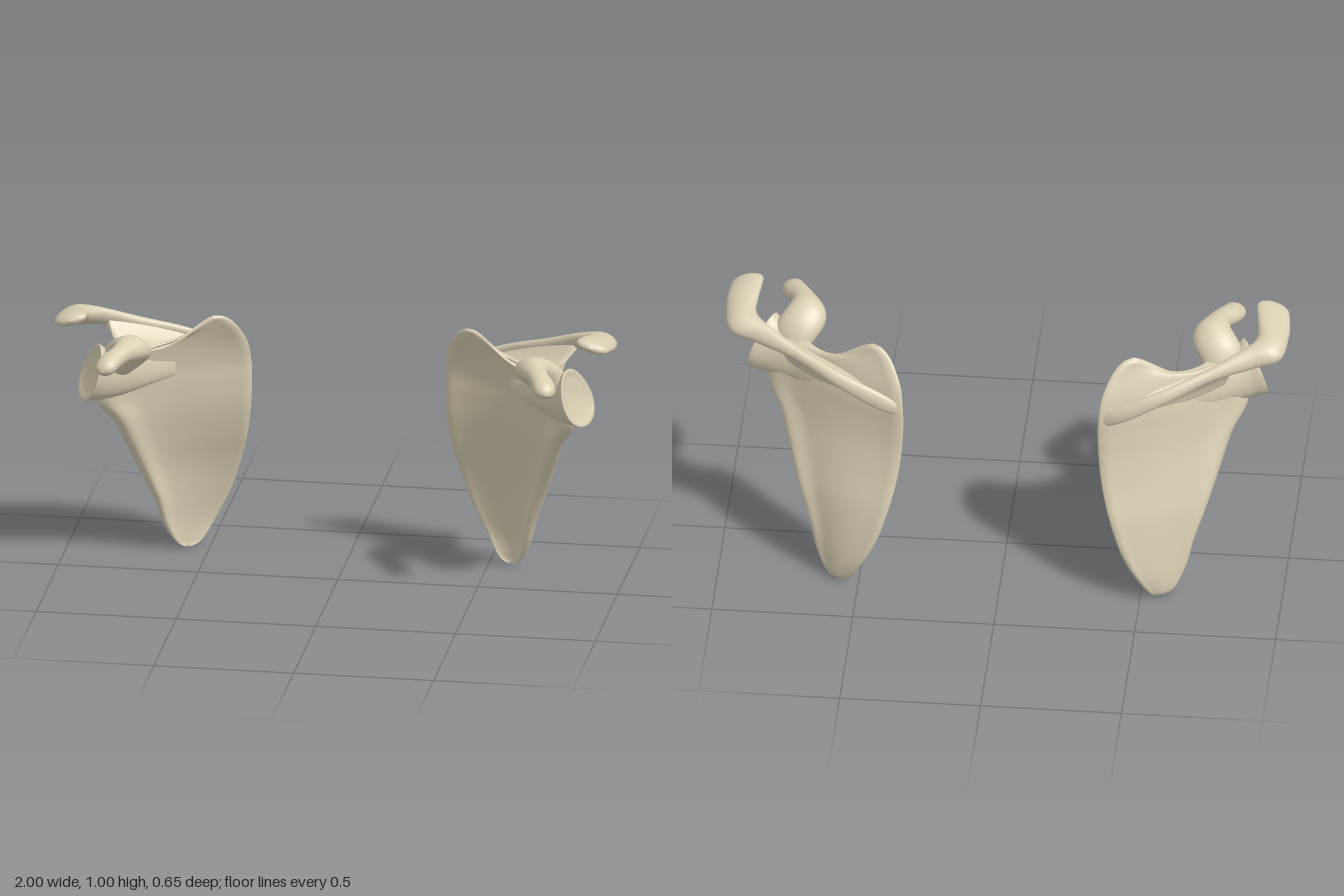
import * as THREE from 'three';

const V = (a) => new THREE.Vector3(...a);
const bone = new THREE.MeshStandardMaterial({ color: 0xd8cfb2 });

// Uniform spline through values, so several tracks stay in step
function track(list) {
  const c = new THREE.CatmullRomCurve3(list.map(V), false, 'catmullrom');
  return (u) => c.getPoint(u);
}

// Skin over closed loops of points; side = -1 mirrors it across x
function loft(name, loops, side, capped = true) {
  const n = loops[0].length, pos = [], idx = [];
  const tri = (a, b, c) => (side > 0 ? idx.push(a, b, c) : idx.push(a, c, b));
  const put = (p) => pos.push(p.x * side, p.y, p.z);
  loops.forEach((loop) => loop.forEach(put));
  for (let i = 0; i < loops.length - 1; i++) {
    for (let j = 0; j < n; j++) {
      const a = i * n + j, b = i * n + (j + 1) % n;
      tri(a, b, a + n);
      tri(b, b + n, a + n);
    }
  }
  if (capped) {
    [0, loops.length - 1].forEach((row, end) => {
      const mid = new THREE.Vector3();
      loops[row].forEach((p) => mid.addScaledVector(p, 1 / n));
      const c = pos.length / 3;
      put(mid);
      for (let j = 0; j < n; j++) {
        const a = row * n + j, b = row * n + (j + 1) % n;
        if (end) tri(a, b, c); else tri(b, a, c);
      }
    });
  }
  const g = new THREE.BufferGeometry();
  g.setAttribute('position', new THREE.Float32BufferAttribute(pos, 3));
  g.setIndex(idx);
  g.computeVertexNormals();
  const mesh = new THREE.Mesh(g, bone);
  mesh.name = name;
  return mesh;
}

// Unit sections: a circle, a pear, and a fin with a wide foot and waisted web
const ring = (pear) => Array.from({ length: 32 }, (_, j) => {
  const a = (j / 32) * Math.PI * 2, s = Math.sin(a);
  return [Math.cos(a) * (1 - pear * s), s];
});
const circle = ring(0), pearShape = ring(0.18);
const finHalf = [[1, 0.6], [0.5, 0.45], [-0.1, 0.5], [-0.6, 0.85], [-1, 1.7]];
const finShape = new THREE.SplineCurve(
  [...finHalf, [-1.15, 0], ...finHalf.map(([c, s]) => [c, -s]).reverse()].map(([c, s]) => new THREE.Vector2(c, s)),
).getPoints(40).map((p) => [p.x, p.y]);

// Sweep of a unit section: each station is [centre, half axis W, half axis T]
function sweep(name, stations, side, { section = circle, start = 0, end = 0, steps = 60 }) {
  const [P, W, T] = [0, 1, 2].map((k) => track(stations.map((s) => s[k])));
  const round = (d, span) => (d < span ? Math.sqrt(1 - (1 - d / span) ** 2) : 1);
  const loops = [];
  for (let i = 0; i <= steps; i++) {
    const u = i / steps, p = P(u), w = W(u), t = T(u);
    const r = Math.max(0.02, round(u, start) * round(1 - u, end));
    loops.push(section.map(([c, s]) => p.clone().addScaledVector(w, r * c).addScaledVector(t, r * s)));
  }
  return loft(name, loops, side);
}

// Thin curved plate between the medial and lateral borders
function blade(side) {
  const M = track([
    [0.568, 0.001, -0.264], [0.53, 0.025, -0.288], [0.485, 0.1, -0.313], [0.435, 0.2, -0.315],
    [0.395, 0.32, -0.3], [0.365, 0.44, -0.27], [0.35, 0.55, -0.25], [0.345, 0.65, -0.243],
    [0.347, 0.72, -0.238], [0.357, 0.8, -0.215], [0.39, 0.875, -0.172], [0.425, 0.912, -0.145],
    [0.462, 0.922, -0.125],
  ]);
  const L = track([
    [0.582, 0.001, -0.258], [0.618, 0.025, -0.238], [0.655, 0.1, -0.203], [0.682, 0.2, -0.172],
    [0.725, 0.32, -0.125], [0.765, 0.44, -0.065], [0.802, 0.55, -0.005], [0.85, 0.635, 0.05],
    [0.84, 0.71, 0.06], [0.82, 0.76, 0.06], [0.8, 0.79, 0.055], [0.77, 0.805, 0.05],
    [0.75, 0.81, 0.045],
  ]);
  const back = new THREE.Vector3(0.49, 0, -0.87);
  const rows = 72, n = 36, loops = [];
  for (let i = 0; i <= rows; i++) {
    const u = i / rows, m = M(u), l = L(u), loop = [];
    const edge = Math.sqrt(Math.min(1, u / 0.1) * Math.min(1, (1 - u) / 0.05));
    const bow = 0.035 * Math.sin(Math.PI * Math.min(1, u * 0.75 + 0.03));
    const sag = 0.045 * THREE.MathUtils.smoothstep(u, 0.8, 1);
    const rim = 0.018 * THREE.MathUtils.smoothstep(u, 0.02, 0.35);
    for (let k = 0; k < 2 * n; k++) {
      const a = (Math.PI * k) / n, t = (1 - Math.cos(a)) / 2, arc = Math.sin(Math.PI * t);
      // thin centre, slim medial rim, stout lateral rim
      const thick = 0.009 + rim * Math.exp(-(((t - 0.92) / 0.1) ** 2)) + 0.004 * Math.exp(-((t / 0.1) ** 2));
      const half = thick * edge * THREE.MathUtils.clamp(Math.sin(a) / 0.45, -1, 1);
      const p = m.clone().lerp(l, t).addScaledVector(back, bow * arc - half);
      p.y -= sag * arc * arc;
      loop.push(p);
    }
    loops.push(loop);
  }
  return loft('blade', loops, side, false);
}

// Fin standing on the back of the blade: blade point, crest point, half thickness
const finRibs = [
  [[0.37, 0.715, -0.232], [0.357, 0.715, -0.243], 0.01],
  [[0.46, 0.74, -0.188], [0.45, 0.765, -0.24], 0.018],
  [[0.565, 0.76, -0.138], [0.58, 0.82, -0.21], 0.024],
  [[0.685, 0.775, -0.066], [0.73, 0.875, -0.145], 0.026],
  [[0.765, 0.785, -0.01], [0.855, 0.91, -0.085], 0.024],
].map(([b, c, t]) => [
  b.map((v, i) => (v + c[i]) / 2),
  b.map((v, i) => (c[i] - v) / 2),
  [-t * 0.35, t, 0],
]);

// Thickened crest of the spine, widening into the flat overhanging acromion
const crest = [
  [[0.354, 0.712, -0.233], [0.004, 0, -0.012], [0, 0.027, 0]],
  [[0.45, 0.762, -0.235], [0.004, 0, -0.014], [-0.006, 0.03, 0.004]],
  [[0.58, 0.82, -0.21], [0.006, 0, -0.015], [-0.006, 0.024, 0.004]],
  [[0.73, 0.873, -0.145], [0.008, 0, -0.016], [-0.006, 0.022, 0]],
  [[0.86, 0.912, -0.086], [0.016, -0.004, -0.024], [-0.01, 0.033, 0.004]],
  [[0.932, 0.93, -0.042], [0.045, -0.012, -0.036], [-0.004, 0.036, -0.004]],
  [[0.943, 0.952, 0.04], [0.056, -0.014, -0.004], [0.004, 0.028, -0.006]],
  [[0.935, 0.972, 0.12], [0.058, -0.016, 0], [0.004, 0.023, -0.004]],
  [[0.928, 0.977, 0.175], [0.052, -0.014, 0], [0.004, 0.021, 0]],
];

// Neck opening out to the shallow, pear-shaped socket
const socket = [
  [[0.6, 0.725, -0.112], [0.002, 0, -0.004], [0, 0.03, 0]],
  [[0.68, 0.73, -0.062], [0.008, 0, -0.016], [0, 0.055, 0]],
  [[0.76, 0.735, 0.012], [0.018, 0, -0.034], [-0.012, 0.078, 0]],
  [[0.825, 0.745, 0.062], [0.027, 0, -0.052], [-0.02, 0.092, 0]],
  [[0.863, 0.762, 0.09], [0.038, 0, -0.073], [-0.03, 0.104, 0]],
  [[0.871, 0.764, 0.094], [0.037, 0, -0.071], [-0.03, 0.101, 0]],
  [[0.865, 0.763, 0.091], [0.026, 0, -0.05], [-0.021, 0.07, 0]],
  [[0.86, 0.762, 0.089], [0.006, 0, -0.012], [-0.005, 0.016, 0]],
];

// Hook rising from a broad foot on the neck and bending forward
const hook = [
  [[0.795, 0.73, 0.035], [0.03, 0, 0.01], [-0.01, 0.015, -0.02]],
  [[0.775, 0.79, 0.055], [0.068, 0.012, 0.02], [-0.01, 0.025, -0.038]],
  [[0.735, 0.848, 0.09], [0.078, 0.01, 0.01], [0, 0.032, -0.036]],
  [[0.718, 0.878, 0.14], [0.062, 0.006, 0.006], [0, 0.042, -0.016]],
  [[0.742, 0.876, 0.2], [0.038, 0, -0.012], [0, 0.036, 0.002]],
  [[0.775, 0.862, 0.26], [0.037, 0, -0.016], [0, 0.033, 0.008]],
  [[0.795, 0.844, 0.322], [0.04, 0, -0.01], [0, 0.028, 0.008]],
];

function shoulderBlade(name, side) {
  const g = new THREE.Group();
  g.name = name;
  g.add(
    blade(side),
    sweep('spineFin', finRibs, side, { section: finShape, start: 0.06, end: 0.04 }),
    sweep('crestAndAcromion', crest, side, { start: 0.06, end: 0.08, steps: 80 }),
    sweep('neckAndSocket', socket, side, { section: pearShape }),
    sweep('coracoidHook', hook, side, { end: 0.12 }),
  );
  return g;
}

export function createModel() {
  const model = new THREE.Group();
  model.name = 'shoulderBlades';
  model.add(shoulderBlade('leftShoulderBlade', 1), shoulderBlade('rightShoulderBlade', -1));
  return model;
}
